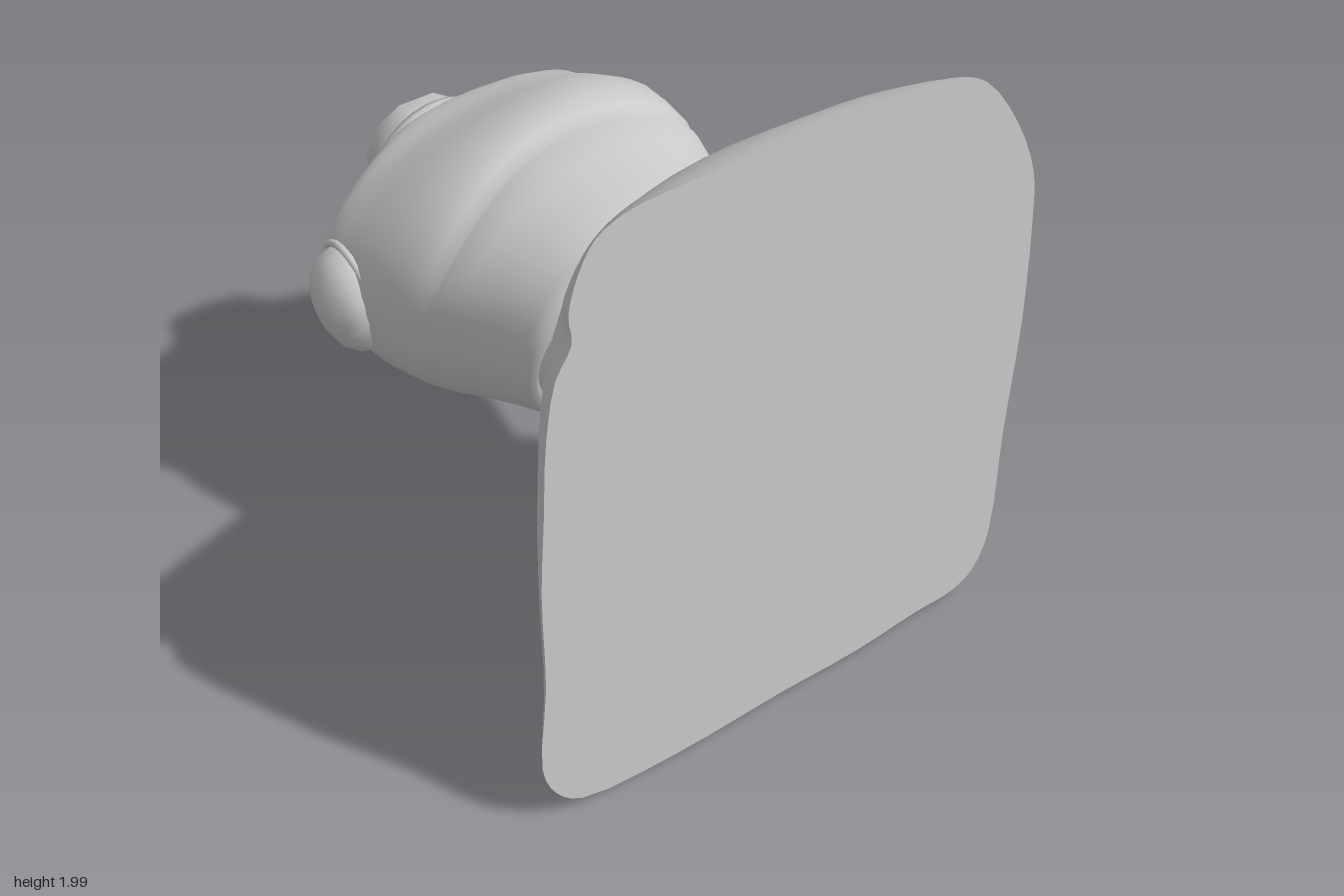
import * as THREE from 'three';

const material = new THREE.MeshStandardMaterial({ color: 0xcccccc });

// Skirt hem outline (x, y), anticlockwise from the model's left side
const HEM = [
  [0.86, 1.0], [0.85, 1.35], [0.83, 1.53], [0.74, 1.73], [0.6, 1.91], [0.47, 1.97], [0.25, 1.99], [0, 1.99],
  [-0.4, 2.0], [-0.6, 1.99], [-0.69, 1.95], [-0.74, 1.87], [-0.77, 1.76], [-0.76, 1.67], [-0.81, 1.58],
  [-0.84, 1.4], [-0.85, 1.15], [-0.86, 0.9], [-0.85, 0.55], [-0.865, 0.25], [-0.82, 0.13], [-0.73, 0.05],
  [-0.4, 0.01], [0, 0.015], [0.3, 0.01], [0.55, 0.03], [0.7, 0.035], [0.78, 0.08], [0.83, 0.2], [0.84, 0.6],
];

// Unit outlines for the cross-sections
function hemOutline(n) {
  const curve = new THREE.CatmullRomCurve3(
    HEM.map(([x, y]) => new THREE.Vector3(x / 0.86, y - 1, 0)), true, 'centripetal');
  return Array.from({ length: n }, (_, i) => {
    const p = curve.getPoint(i / n);
    return [p.x, p.y];
  });
}

function ovalOutline(n, power = 2) {
  return Array.from({ length: n }, (_, i) => {
    const a = (i / n) * Math.PI * 2;
    const c = Math.cos(a), s = Math.sin(a);
    return [Math.sign(c) * Math.abs(c) ** (2 / power), Math.sign(s) * Math.abs(s) ** (2 / power)];
  });
}

// Skin rings running from +z towards -z; ends are closed with separate flat caps
function skin(name, rings) {
  const group = new THREE.Group();
  group.name = name;
  const n = rings[0].length;
  const add = (part, points, index) => {
    const geometry = new THREE.BufferGeometry().setFromPoints(points);
    geometry.setIndex(index);
    geometry.computeVertexNormals();
    const mesh = new THREE.Mesh(geometry, material);
    mesh.name = part;
    group.add(mesh);
  };
  const side = [];
  for (let i = 0; i < rings.length - 1; i++) {
    for (let j = 0; j < n; j++) {
      const k = (j + 1) % n;
      const a = i * n + j, b = i * n + k, c = a + n, d = b + n;
      side.push(a, c, b, b, c, d);
    }
  }
  add(name + 'Side', rings.flat(), side);
  const cap = (part, ring, flip) => {
    const centre = ring.reduce((s, p) => s.add(p), new THREE.Vector3()).divideScalar(n);
    const index = [];
    for (let j = 0; j < n; j++) {
      const k = (j + 1) % n;
      index.push(n, flip ? k : j, flip ? j : k);
    }
    add(part, [...ring, centre], index);
  };
  cap(name + 'FrontCap', rings[0], false);
  cap(name + 'BackCap', rings[rings.length - 1], true);
  return group;
}

// Station: [zTop, yTop, zBottom, yBottom, xMin, xMax]
// bend pulls the upper flanks forward, roll lifts the left flank and drops the right
function placeRing(outline, [zt, yt, zb, yb, x0, x1], bend = 0, roll = 0) {
  return outline.map(([u, v]) => new THREE.Vector3(
    (x0 + x1) / 2 + (u * (x1 - x0)) / 2,
    (yt + yb) / 2 + (v * (yt - yb)) / 2 + roll * u,
    (zt + zb) / 2 + (v * (zt - zb)) / 2 + bend * u * u * Math.max(v, 0)));
}

// Skirt: uneven hem, then a squarish cushion turning oval at the waist
function makeSkirt() {
  const hem = hemOutline(90);
  // Last two values: squareness, and share of the uneven hem outline
  const stations = [
    [0.95, 2.0, 0.95, 0, -0.86, 0.86, 1, 1],
    [0.88, 1.965, 0.88, 0.015, -0.82, 0.82, 0.95, 0.65],
    [0.8, 1.92, 0.8, 0.04, -0.765, 0.77, 0.86, 0.35],
    [0.7, 1.84, 0.7, 0.08, -0.685, 0.69, 0.72, 0.1],
    [0.64, 1.79, 0.64, 0.105, -0.635, 0.62, 0.62, 0],
    [0.585, 1.735, 0.585, 0.16, -0.58, 0.55, 0.5, 0],
    [0.535, 1.63, 0.535, 0.27, -0.53, 0.485, 0.35, 0],
    [0.48, 1.5, 0.49, 0.44, -0.48, 0.44, 0.18, 0],
    [0.43, 1.37, 0.44, 0.62, -0.45, 0.405, 0.05, 0],
    [0.38, 1.35, 0.38, 0.71, -0.425, 0.385, 0, 0],
    [0.32, 1.34, 0.24, 0.77, -0.41, 0.375, 0, 0],
  ];
  return skin('skirt', stations.map((s) => {
    const [square, uneven] = s.slice(6);
    const outline = hem.map(([u, v]) => {
      const r = Math.hypot(u, v);
      const c = u / r, d = v / r;
      const box = (c ** 4 + d ** 4) ** -0.25;
      const edge = THREE.MathUtils.lerp(box, r, uneven);
      const radius = THREE.MathUtils.lerp(1, edge, square);
      return [c * radius, d * radius];
    });
    return placeRing(outline, s);
  }));
}

// Torso: tilted bodice hem, curved bust crease, rolled shoulders closing in to the neck
function makeTorso() {
  const outline = ovalOutline(64, 2.25);
  // Last two values: bend of the bust crease, roll of the shoulders
  const stations = [
    [0.41, 1.35, 0.26, 0.74, -0.42, 0.37, 0, 0],
    [0.4, 1.4, 0.25, 0.7, -0.44, 0.385, 0, 0],
    [0.36, 1.425, 0.22, 0.685, -0.445, 0.39, 0, 0],
    [0.2, 1.43, 0.1, 0.66, -0.475, 0.425, 0, 0.02],
    [0.05, 1.443, 0, 0.642, -0.51, 0.46, 0.06, 0.045],
    [-0.07, 1.45, -0.09, 0.625, -0.54, 0.48, 0.14, 0.07],
    [-0.105, 1.43, -0.13, 0.62, -0.545, 0.485, 0.16, 0.08],
    [-0.14, 1.453, -0.17, 0.613, -0.56, 0.492, 0.16, 0.085],
    [-0.2, 1.465, -0.24, 0.605, -0.57, 0.495, 0.1, 0.095],
    [-0.3, 1.443, -0.33, 0.602, -0.58, 0.495, 0.04, 0.105],
    [-0.42, 1.38, -0.44, 0.618, -0.58, 0.485, 0, 0.11],
    [-0.54, 1.31, -0.56, 0.655, -0.57, 0.485, 0, 0.11],
    [-0.61, 1.285, -0.63, 0.685, -0.55, 0.48, 0, 0.105],
    [-0.66, 1.27, -0.68, 0.71, -0.49, 0.44, 0, 0.085],
    [-0.7, 1.255, -0.73, 0.738, -0.39, 0.36, 0, 0.05],
    [-0.74, 1.23, -0.77, 0.76, -0.28, 0.26, 0, 0.02],
    [-0.77, 1.2, -0.8, 0.79, -0.23, 0.2, 0, 0],
  ];
  return skin('torso', stations.map((s) => placeRing(outline, s, s[6], s[7])));
}

// Rounded arm stump sunk in an armhole rim
function makeArm(name, position, axis, radius, height) {
  const group = new THREE.Group();
  group.name = name;
  const profile = [[0.96, -0.5], [0.96, 0.05], [0.9, 0.4], [0.7, 0.75], [0.38, 0.96], [0, 1]];
  const stump = new THREE.Mesh(new THREE.LatheGeometry(
    profile.map(([r, h]) => new THREE.Vector2(r * radius, h * height)), 16), material);
  stump.name = 'armStump';
  const rim = new THREE.Mesh(new THREE.TorusGeometry(radius, 0.012, 8, 24), material);
  rim.name = 'armholeRim';
  rim.rotation.x = Math.PI / 2;
  group.add(stump, rim);
  group.quaternion.setFromUnitVectors(new THREE.Vector3(0, 1, 0), new THREE.Vector3(...axis).normalize());
  group.position.set(...position);
  return group;
}

export function createModel() {
  const model = new THREE.Group();
  model.name = 'dressForm';
  model.add(makeSkirt(), makeTorso());
  model.add(makeArm('leftArm', [0.455, 1.085, -0.42], [1, 0.16, -0.24], 0.215, 0.145));
  model.add(makeArm('rightArm', [-0.525, 0.87, -0.465], [-1, -0.15, -0.1], 0.18, 0.12));

  // Collar band around the neck base
  const round = ovalOutline(32);
  model.add(skin('collar', [
    [-0.69, 1.23, -0.74, 0.77, -0.25, 0.22],
    [-0.73, 1.245, -0.79, 0.755, -0.265, 0.215],
    [-0.77, 1.225, -0.82, 0.78, -0.24, 0.205],
    [-0.78, 1.19, -0.825, 0.81, -0.22, 0.185],
  ].map((s) => placeRing(round, s))));

  // Neck stub with a slanted, softly rounded end
  const neckOutline = ovalOutline(10, 2.3);
  model.add(skin('neck', [
    [-0.72, 1.21, -0.76, 0.81, -0.225, 0.185],
    [-0.79, 1.2, -0.84, 0.84, -0.215, 0.175],
    [-0.86, 1.195, -0.925, 0.86, -0.2, 0.15],
    [-0.875, 1.175, -0.95, 0.885, -0.18, 0.125],
    [-0.895, 1.1, -0.935, 0.95, -0.1, 0.05],
  ].map((s) => placeRing(neckOutline, s))));
  return model;
}
